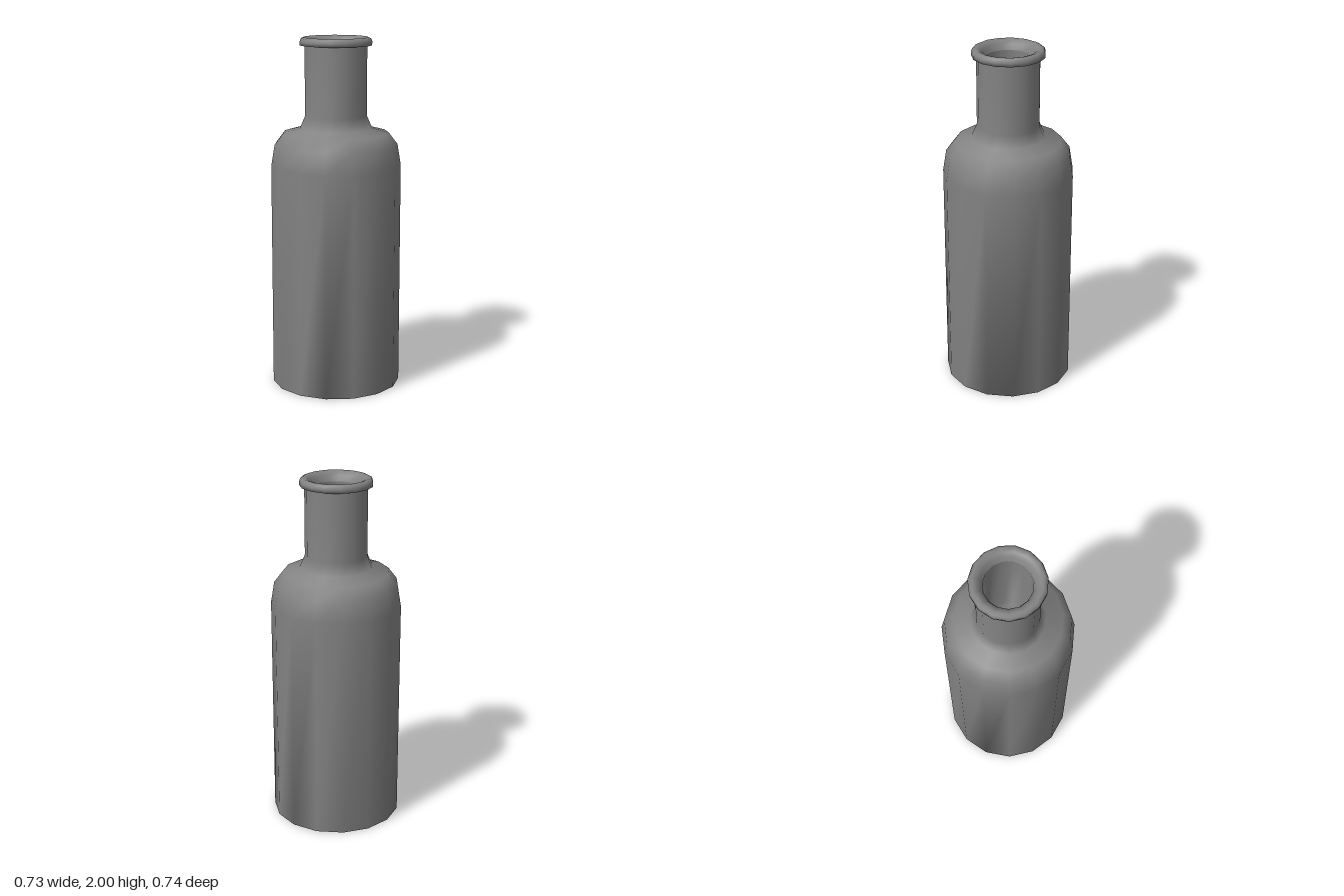
import * as THREE from 'three';
import { mergeGeometries, mergeVertices } from 'three/addons/utils/BufferGeometryUtils.js';

const SIDES = 15;
const BODY_RADIUS = 0.37;
const BORE_RADIUS = 0.13;

// Faceted turned surface, with a corner pointing along +x
function turn(profile) {
  const points = profile.map(([r, y]) => new THREE.Vector2(r, y));
  const geometry = new THREE.LatheGeometry(points, SIDES, Math.PI / 2);
  // Split each quad along its other diagonal
  const index = geometry.index.array;
  for (let i = 0; i < index.length; i += 6) {
    const [a, b, d, c] = index.slice(i, i + 4);
    index.set([a, b, c, a, c, d], i);
  }
  geometry.deleteAttribute('uv');
  return geometry;
}

// Flat disc facing down: a core polygon with the leftover arcs filled in
function disc(radius) {
  const positions = [];
  const normals = [];
  const triangle = (...corners) => {
    for (const k of corners) {
      const a = (k / SIDES) * Math.PI * 2;
      positions.push(radius * Math.cos(a), 0, radius * Math.sin(a));
      normals.push(0, -1, 0);
    }
  };
  const fillArc = (a, b) => {
    if (b - a < 2) return;
    const mid = Math.floor((a + b) / 2);
    triangle(a, mid, b);
    fillArc(a, mid);
    fillArc(mid, b);
  };
  const core = [6, 7, 11, 13, 14, 17, 21];
  for (let i = 1; i < 5; i++) triangle(core[0], core[i], core[i + 1]);
  for (let i = 0; i < 6; i++) fillArc(core[i], core[i + 1]);
  const geometry = new THREE.BufferGeometry();
  geometry.setAttribute('position', new THREE.Float32BufferAttribute(positions, 3));
  geometry.setAttribute('normal', new THREE.Float32BufferAttribute(normals, 3));
  return geometry;
}

// Weld the pieces together so shading runs smoothly over the edges
function weld(...pieces) {
  const joined = mergeGeometries(pieces.map((g) => (g.index ? g.toNonIndexed() : g)));
  joined.deleteAttribute('normal');
  const welded = mergeVertices(joined, 1e-4);
  welded.computeVertexNormals();
  return welded;
}

export function createModel() {
  const bottle = new THREE.Group();
  bottle.name = 'bottle';
  const material = new THREE.MeshStandardMaterial({ color: 0x828282 });
  const add = (name, geometry) => {
    const mesh = new THREE.Mesh(geometry, material);
    mesh.name = name;
    mesh.position.x = -0.004; // centres the odd-sided outline
    bottle.add(mesh);
  };

  // Closed base, straight wall, rounded shoulder and neck
  add('bodyAndNeck', weld(
    disc(BODY_RADIUS),
    turn([
      [BODY_RADIUS, 0], [BODY_RADIUS, 1.28], [0.35, 1.4], [0.3, 1.465],
      [0.206, 1.49], [0.176, 1.56], [0.176, 1.955],
    ]),
  ));

  // Rolled lip around the mouth
  add('lip', weld(turn([
    [0.176, 1.955], [0.203, 1.955], [0.204, 1.975], [0.198, 1.992],
    [0.182, 2], [0.162, 1.994], [0.142, 1.975], [BORE_RADIUS, 1.945],
  ])));

  // Inside of the neck, closed at the bottom
  add('bore', weld(
    turn([[BORE_RADIUS, 1.945], [BORE_RADIUS, 1.4]]),
    disc(BORE_RADIUS).rotateX(Math.PI).translate(0, 1.4, 0),
  ));
  return bottle;
}
